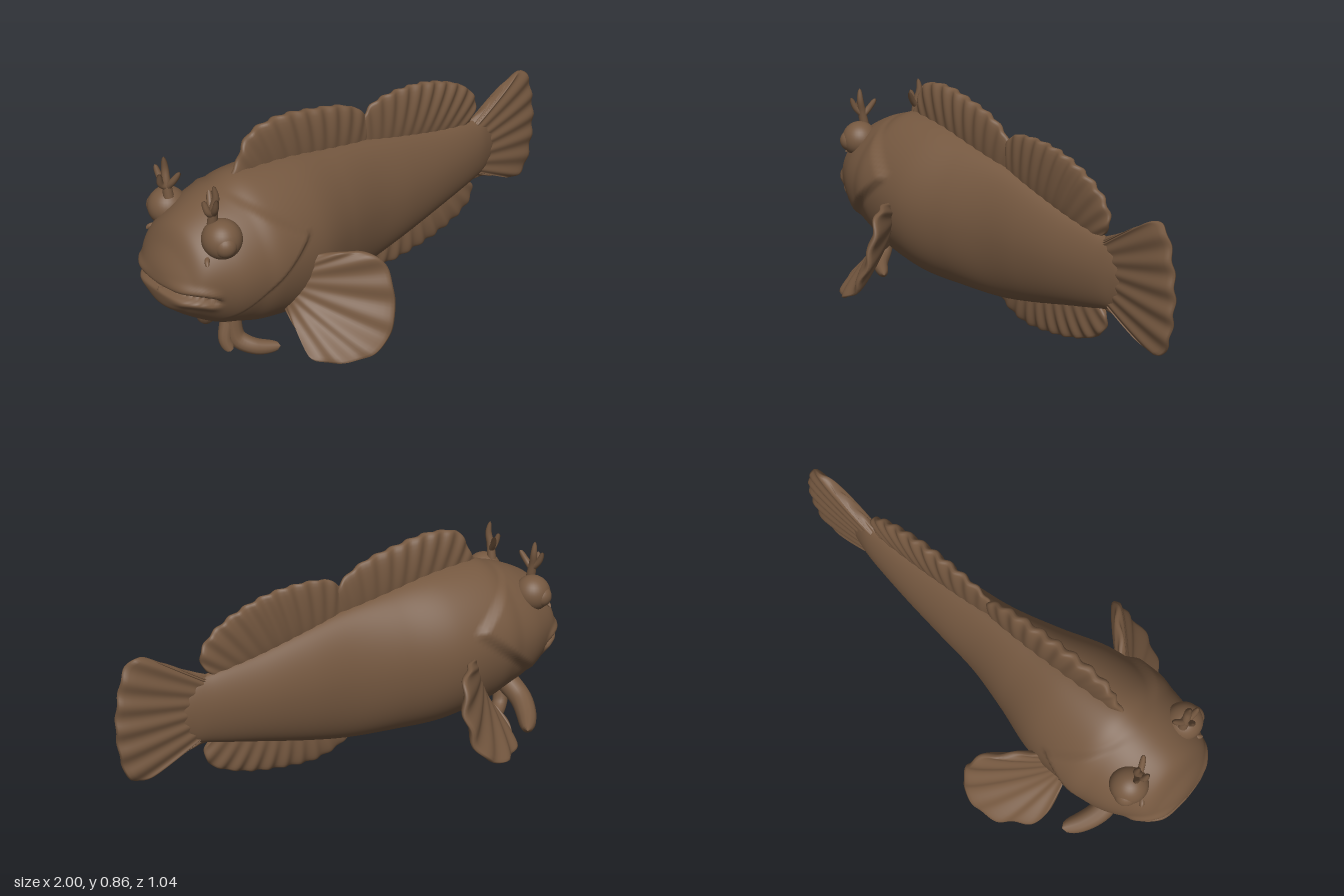
import * as THREE from 'three';

const V = (p) => new THREE.Vector3(p[0], p[1], p[2] || 0);
const spline = (pts) => new THREE.CatmullRomCurve3(pts.map(V), false, 'catmullrom', 0.5);
const smooth = THREE.MathUtils.smoothstep;

// Smooth skin from rings: fn(u, a) gives the point at station u and ring angle a
function skin(fn, nu, nv) {
  const pos = [], idx = [];
  for (let i = 0; i <= nu; i++) {
    for (let j = 0; j < nv; j++) {
      const p = fn(i / nu, (j / nv) * Math.PI * 2);
      pos.push(p.x, p.y, p.z);
      if (i === nu) continue;
      const k = (j + 1) % nv;
      const a = i * nv + j, b = i * nv + k, c = a + nv, d = b + nv;
      idx.push(a, b, c, b, d, c);
    }
  }
  const g = new THREE.BufferGeometry();
  g.setAttribute('position', new THREE.Float32BufferAttribute(pos, 3));
  g.setIndex(idx);
  g.computeVertexNormals();
  return g;
}

// Ribbed fin stretched between a root line and an outer edge
function fin(rootPts, edgePts, thick, ribs, ripple) {
  const root = spline(rootPts), edge = spline(edgePts);
  const n = edge.getPointAt(0.5).sub(root.getPointAt(0.5))
    .cross(root.getPoint(1).sub(root.getPoint(0))).normalize();
  return skin((u, a) => {
    const s = (1 - Math.cos(a)) / 2;
    const p = root.getPointAt(u).lerp(edge.getPointAt(u), s);
    const body = Math.pow(Math.max(0, Math.sin(Math.PI * u)), 0.4);
    const side = Math.sign(Math.sin(a)) * Math.pow(Math.abs(Math.sin(a)), 0.7);
    const wave = ripple * s * Math.sin(u * ribs * Math.PI * 2);
    return p.addScaledVector(n, body * (thick * side + wave));
  }, Math.max(48, ribs * 10), 28);
}

// Round-ended finger along a path, tapering from r0 to r1
function finger(pts, r0, r1) {
  const path = spline(pts), rings = 20, sides = 12;
  const g = new THREE.TubeGeometry(path, rings, 1, sides);
  const p = g.attributes.position, v = new THREE.Vector3();
  for (let i = 0; i <= rings; i++) {
    const u = i / rings, c = path.getPointAt(u);
    const r = (r0 + (r1 - r0) * u) * Math.sqrt(Math.max(0, 1 - Math.pow(u, 8)));
    for (let j = 0; j <= sides; j++) {
      const k = i * (sides + 1) + j;
      v.fromBufferAttribute(p, k).sub(c).multiplyScalar(r).add(c);
      p.setXYZ(k, v.x, v.y, v.z);
    }
  }
  return g;
}

// Body stations: x, top, bottom, half width
const STATIONS = [
  [-1, 0.37, 0.37, 0], [-0.985, 0.45, 0.3, 0.1], [-0.95, 0.52, 0.265, 0.16],
  [-0.9, 0.6, 0.225, 0.2], [-0.8, 0.655, 0.16, 0.235], [-0.7, 0.69, 0.12, 0.25],
  [-0.6, 0.715, 0.09, 0.268], [-0.4, 0.705, 0.058, 0.255], [-0.2, 0.67, 0.06, 0.19],
  [0, 0.63, 0.075, 0.135], [0.2, 0.585, 0.115, 0.112], [0.4, 0.54, 0.165, 0.09],
  [0.6, 0.505, 0.215, 0.06], [0.7, 0.48, 0.25, 0.035], [0.8, 0.36, 0.36, 0],
];

function bodyGeometry() {
  const line = spline(STATIONS.map((s) => [s[0], s[1], s[2]]));
  const width = spline(STATIONS.map((s) => [s[3], 0, 0]));
  return skin((u, a) => {
    const { x, y: top, z: bottom } = line.getPoint(u);
    const cos = Math.cos(a), sin = Math.sin(a);
    const y = (top + bottom) / 2 + (cos * (top - bottom)) / 2;
    let z = Math.max(0, width.getPoint(u).x) * sin * (1 - 0.14 * Math.max(0, cos) ** 2);
    let px = x;
    // gill cover: a raised cheek with a sharp rear edge
    const rear = y > 0.5 ? -0.48 - (y - 0.5) * 1.3 : -0.48 - (0.5 - y) * 1.25;
    const cheek = smooth(rear - x, -0.02, 0.03) * smooth(x, -0.95, -0.7);
    z += 0.026 * cheek * sin;
    // mouth: a groove between two lips, turning down at the corners
    const d = y - (0.375 - 3 * Math.max(0, x + 0.97) ** 2);
    const m = 1 - smooth(x, -0.9, -0.85);
    const groove = m * Math.exp(-((d / 0.011) ** 2));
    const lips = m * (Math.exp(-(((d - 0.03) / 0.018) ** 2)) + Math.exp(-(((d + 0.03) / 0.018) ** 2)));
    z += sin * (0.012 * lips - 0.028 * groove);
    px += 0.02 * groove - 0.004 * lips * smooth(x, -1, -0.97);
    return new THREE.Vector3(px, y, z);
  }, 170, 120);
}

export function createModel() {
  const model = new THREE.Group();
  model.name = 'fish';
  const brown = new THREE.MeshStandardMaterial({ color: 0x755840 });
  brown.name = 'brown skin';
  const add = (name, geometry) => {
    const mesh = new THREE.Mesh(geometry, brown);
    mesh.name = name;
    model.add(mesh);
    return mesh;
  };

  add('body', bodyGeometry());

  // Fins along the middle
  add('frontDorsalFin', fin(
    [[-0.6, 0.62], [-0.3, 0.62], [0.02, 0.57]],
    [[-0.67, 0.67], [-0.61, 0.75], [-0.58, 0.81], [-0.53, 0.853], [-0.4, 0.868], [-0.25, 0.845],
      [-0.1, 0.81], [0, 0.755], [0.05, 0.68]], 0.03, 11, 0.007));
  add('rearDorsalFin', fin(
    [[0, 0.57], [0.3, 0.52], [0.57, 0.46]],
    [[-0.01, 0.69], [0.03, 0.74], [0.08, 0.77], [0.2, 0.78], [0.35, 0.765], [0.5, 0.715],
      [0.6, 0.65], [0.64, 0.58], [0.62, 0.52], [0.58, 0.49]], 0.026, 12, 0.007));
  add('analFin', fin(
    [[0.02, 0.15], [0.3, 0.2], [0.58, 0.27]],
    [[-0.05, 0.085], [0.02, 0.045], [0.1, 0.018], [0.2, 0.01], [0.4, 0.035], [0.55, 0.08],
      [0.62, 0.13], [0.635, 0.19], [0.6, 0.23]], 0.026, 11, 0.007));
  add('tailFin', fin(
    [[0.5, 0.42], [0.5, 0.365], [0.5, 0.31]],
    [[0.62, 0.505], [0.7, 0.54], [0.8, 0.595], [0.89, 0.638], [0.95, 0.61], [0.985, 0.5], [1, 0.37],
      [0.985, 0.23], [0.95, 0.15], [0.88, 0.138], [0.8, 0.175], [0.7, 0.21], [0.62, 0.22]],
    0.028, 12, 0.006));

  // Paired parts
  for (const [label, s] of [['left', -1], ['right', 1]]) {
    const m = (pts) => pts.map(([x, y, z]) => [x, y, z * s]);
    add(label + 'PectoralFin', fin(
      m([[-0.5, 0.36, 0.2], [-0.53, 0.27, 0.2], [-0.55, 0.18, 0.17]]),
      m([[-0.46, 0.4, 0.25], [-0.38, 0.42, 0.33], [-0.29, 0.4, 0.42], [-0.26, 0.28, 0.47],
        [-0.3, 0.13, 0.51], [-0.4, 0.06, 0.512], [-0.5, 0.045, 0.46], [-0.58, 0.055, 0.38],
        [-0.58, 0.13, 0.3], [-0.57, 0.17, 0.23]]), 0.026, 8, 0.008));

    const eye = add(label + 'Eye', new THREE.SphereGeometry(0.075, 32, 20));
    eye.position.set(-0.815, 0.575, 0.163 * s);
    const pupil = add(label + 'Pupil', new THREE.SphereGeometry(0.045, 24, 16));
    pupil.position.set(-0.83, 0.57, 0.2 * s);

    // branching feeler above the eye
    const branches = [
      [[-0.83, 0.63, 0.13], [-0.83, 0.69, 0.14], [-0.825, 0.74, 0.15], [-0.83, 0.79, 0.148]],
      [[-0.83, 0.67, 0.135], [-0.84, 0.705, 0.165], [-0.845, 0.75, 0.184]],
      [[-0.83, 0.67, 0.135], [-0.82, 0.7, 0.11], [-0.805, 0.74, 0.085]],
      [[-0.83, 0.67, 0.135], [-0.855, 0.69, 0.14], [-0.865, 0.735, 0.13]],
    ];
    branches.forEach((b, i) => add(label + 'Feeler' + (i + 1), finger(m(b), i ? 0.014 : 0.02, 0.011)));
    add(label + 'Nostril', finger(m([[-0.86, 0.52, 0.14], [-0.89, 0.515, 0.17], [-0.9, 0.5, 0.185]]), 0.014, 0.008));
  }

  // Finger-like belly fins, one side spread wider than the other
  const bellyFins = {
    frontBellyFin: [[[-0.74, 0.18, 0.09], [-0.73, 0.09, 0.11], [-0.68, 0.05, 0.16], [-0.59, 0.03, 0.2]], 0.04, 0.028],
    frontBellyKnob: [[[-0.75, 0.18, 0.09], [-0.775, 0.1, 0.1], [-0.765, 0.045, 0.12]], 0.03, 0.024],
    rearBellyFin: [[[-0.74, 0.18, -0.12], [-0.75, 0.13, -0.2], [-0.72, 0.09, -0.28], [-0.67, 0.06, -0.35]], 0.05, 0.038],
    rearBellyFinger: [[[-0.74, 0.18, -0.08], [-0.72, 0.08, -0.1], [-0.66, 0.04, -0.14], [-0.6, 0.03, -0.165]], 0.036, 0.026],
  };
  for (const [name, [pts, r0, r1]] of Object.entries(bellyFins)) add(name, finger(pts, r0, r1));

  return model;
}
